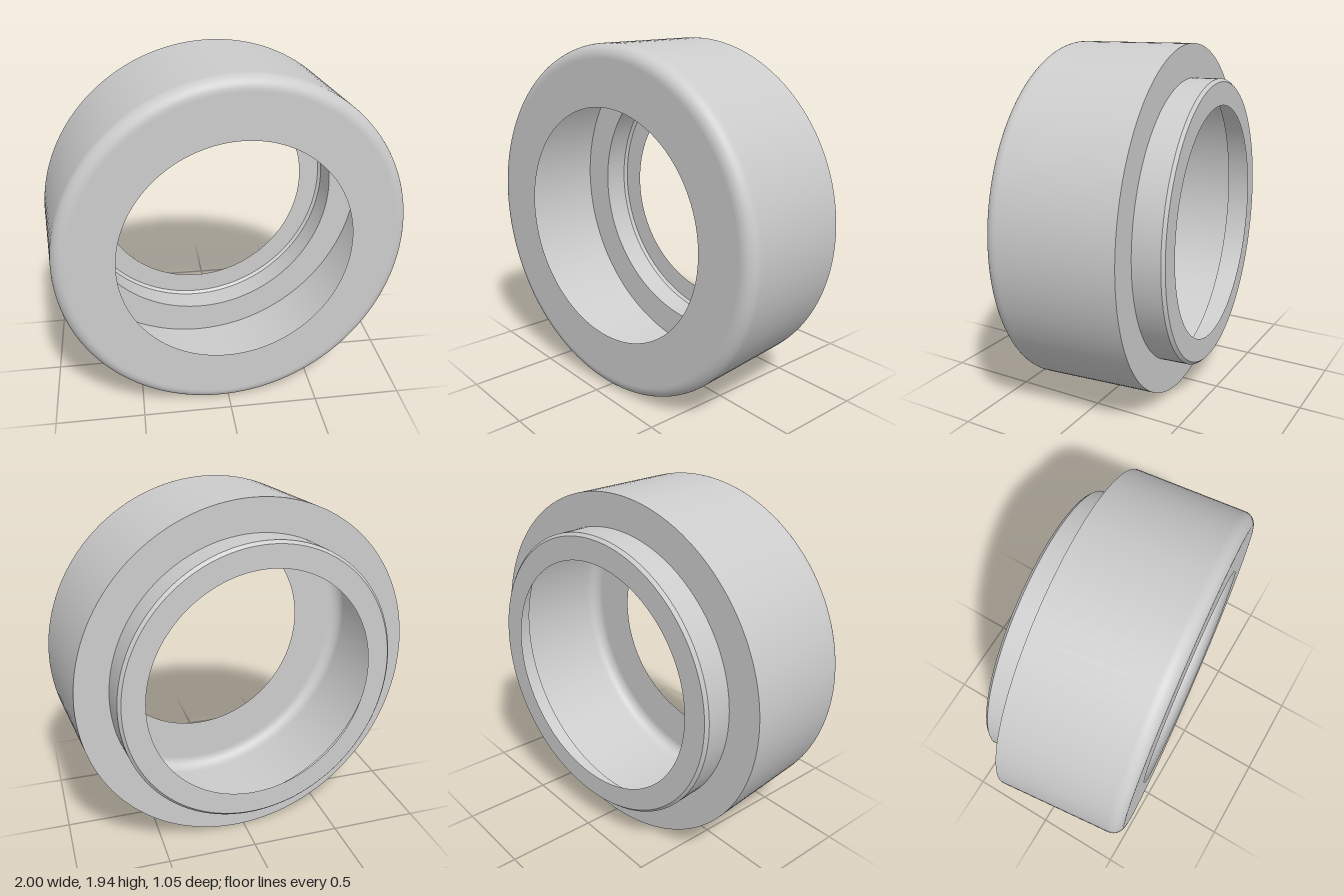
import * as THREE from 'three';

// Ring dimensions, measured along and around its own axis
const BODY_R = 0.972, NECK_R = 0.79, HOLE_R = 0.648;
const FRONT = 0.427, SHOULDER = -0.284, BACK = -0.45;
const FILLET = 0.07, CHAMFER = 0.016;

export function createModel() {
  const model = new THREE.Group();
  const grey = new THREE.MeshStandardMaterial({ color: 0xcccccc, side: THREE.DoubleSide });
  grey.name = 'light grey';

  const ring = new THREE.Group();
  ring.name = 'ring';
  model.add(ring);

  // Revolve [radius, axial position] points, back to front, around z
  const revolve = (name, profile) => {
    const points = profile.map(([r, z]) => new THREE.Vector2(r, z));
    const mesh = new THREE.Mesh(new THREE.LatheGeometry(points, 128).rotateX(Math.PI / 2), grey);
    mesh.name = name;
    ring.add(mesh);
  };

  // Thin shell: separate bands keep the edges between them sharp
  revolve('backFace', [[HOLE_R, BACK], [NECK_R - CHAMFER, BACK]]);
  revolve('neckChamfer', [[NECK_R - CHAMFER, BACK], [NECK_R, BACK + CHAMFER]]);
  revolve('neck', [[NECK_R, BACK + CHAMFER], [NECK_R, SHOULDER]]);
  revolve('shoulder', [[NECK_R, SHOULDER], [BODY_R, SHOULDER]]);

  // Outer wall rolling smoothly over into the front face
  const body = [[BODY_R, SHOULDER], [BODY_R, FRONT - FILLET - 0.005]];
  for (let i = 0; i <= 10; i++) {
    const a = (i / 10) * Math.PI / 2;
    body.push([BODY_R - FILLET + FILLET * Math.cos(a), FRONT - FILLET + FILLET * Math.sin(a)]);
  }
  body.push([BODY_R - FILLET - 0.005, FRONT], [HOLE_R, FRONT]);
  revolve('bodyAndFrontFace', body);

  // The ring stands on its rim, turned slightly
  ring.rotation.y = THREE.MathUtils.degToRad(6.05);
  ring.position.set(-0.003, BODY_R, 0);
  return model;
}
